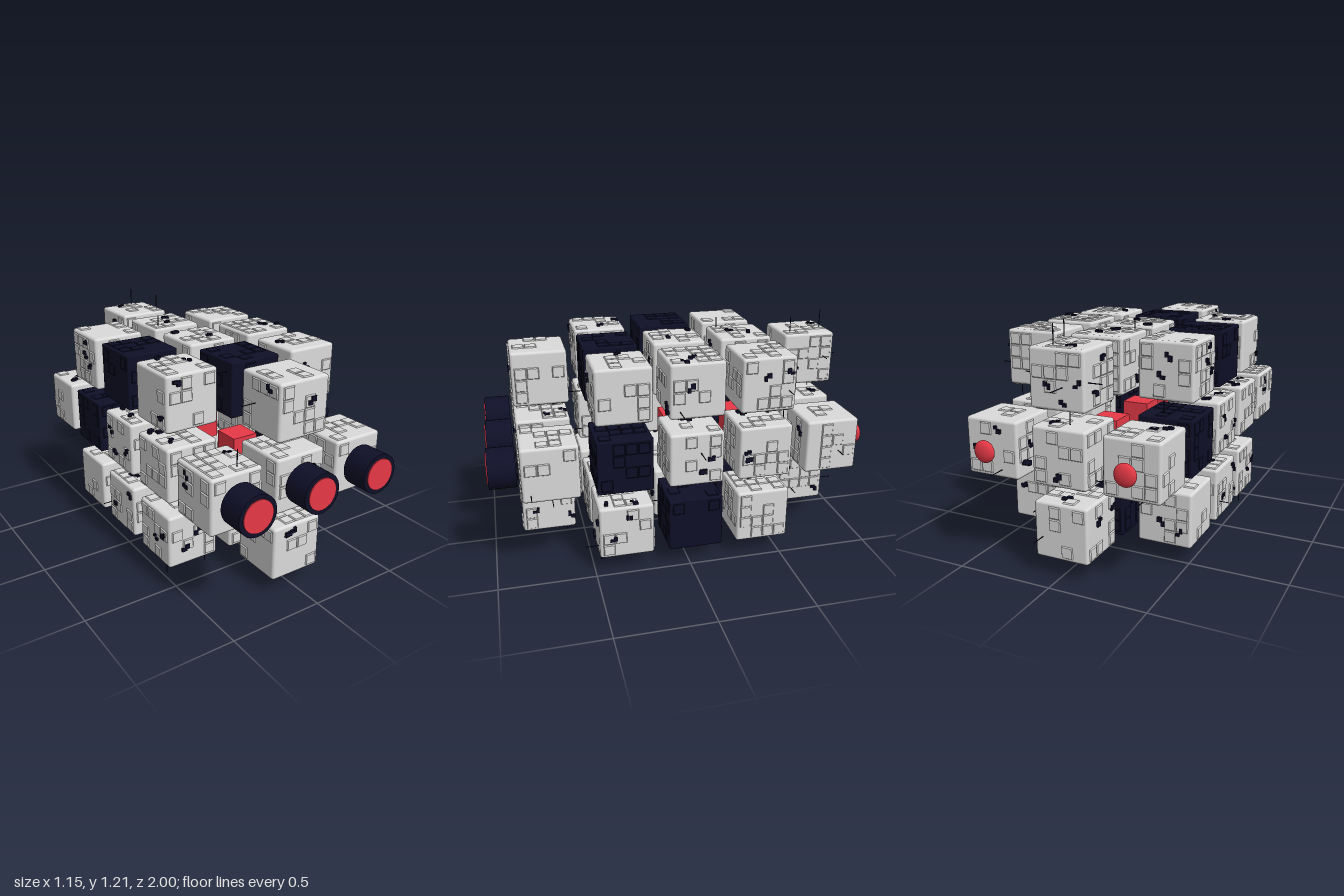
import * as THREE from 'three';
import { mergeGeometries } from 'three/addons/utils/BufferGeometryUtils.js';
import { RoundedBoxGeometry } from 'three/addons/geometries/RoundedBoxGeometry.js';

const STEP = 0.365, SIZE = 0.284;
const CENTER = new THREE.Vector3(-0.014, 0.602, -0.03);
const Z = new THREE.Vector3(0, 0, 1);

// cells with dark blocks, as x, y, z steps from the centre
const DARK = new Set(['-1,1,0', '0,1,1', '1,0,1', '1,-1,0', '-1,0,-1', '0,-1,-1']);

// long outer antennas: tip position and direction
const ANTENNAS = [
  [-0.475, 0, 0.37, 0, -1, 0], [-0.28, 0.04, 0.43, 0, -1, 0], [0.32, 0.03, -0.3, 0, -1, 0],
  [0.02, 1.21, -0.86, 0, 1, 0], [0.085, 1.2, -0.66, 0, 1, 0], [-0.11, 1.17, -0.3, 0, 1, 0],
  [-0.045, 0.935, -1, 0, 0, -1], [0.085, 0.2, -0.98, 0, 0, -1], [0.3, 0.5, -0.99, 0, 0, -1],
  [0.55, 0.93, -0.5, 1, 0, 0], [0.57, 0.865, 0.06, 1, 0, 0], [0.575, 0.635, -0.05, 1, 0, 0],
  [0.55, 0.5, 0.8, 1, 0, 0], [0.55, 0.57, -0.8, 1, 0, 0], [-0.575, 0.2, -0.14, -1, 0, 0],
];

const FACES = [[1, 0, 0], [-1, 0, 0], [0, 1, 0], [0, -1, 0], [0, 0, 1], [0, 0, -1]]
  .map(a => new THREE.Vector3(...a));

function makeRandom(seed) {
  return () => {
    seed = (seed * 1664525 + 1013904223) >>> 0;
    return seed / 4294967296;
  };
}

// plate on the z = 0 plane whose sides slope inward
function plate(w, h, depth, inset = 0.004) {
  const g = new THREE.BoxGeometry(w, h, depth);
  const p = g.attributes.position;
  for (let i = 0; i < p.count; i++) {
    if (p.getZ(i) > 0) p.setXY(i, p.getX(i) - Math.sign(p.getX(i)) * inset, p.getY(i) - Math.sign(p.getY(i)) * inset);
  }
  g.translate(0, 0, depth / 2);
  g.computeVertexNormals();
  return g;
}

// rod along +z from the origin
function rod(length, radius) {
  return new THREE.CylinderGeometry(radius, radius, length, 6)
    .rotateX(Math.PI / 2).translate(0, 0, length / 2);
}

// turns a geometry built on the xy plane onto one face of a block
function onFace(geometry, dir, u, v) {
  return geometry.translate(u, v, SIZE / 2)
    .applyQuaternion(new THREE.Quaternion().setFromUnitVectors(Z, dir));
}

export function createModel() {
  const model = new THREE.Group();
  const material = hex => new THREE.MeshStandardMaterial({ color: hex });
  const grey = material(0xdadada), navy = material(0x0f0f28), red = material(0xe63946);
  grey.name = 'light grey';
  navy.name = 'dark navy';
  red.name = 'red';
  const random = makeRandom(77);

  const add = (parent, name, geometry, mat, x = 0, y = 0, z = 0) => {
    const mesh = new THREE.Mesh(geometry, mat);
    mesh.name = name;
    mesh.position.set(x, y, z);
    parent.add(mesh);
    return mesh;
  };

  const hull = new RoundedBoxGeometry(SIZE, SIZE, SIZE, 2, 0.015);
  const darkHull = new RoundedBoxGeometry(SIZE, SIZE, SIZE, 2, 0.008);

  function block(cell, dark) {
    const group = new THREE.Group();
    group.name = dark ? 'darkBlock' : 'panelledBlock';
    const panels = [], details = [];
    for (const dir of FACES) {
      // raised square panels on a four by four grid
      for (let a = 0; a < 4; a++) {
        for (let b = 0; b < 4; b++) {
          if (random() < 0.38) {
            panels.push(onFace(plate(0.06, 0.06, dark ? 0.003 : 0.006), dir, (a - 1.5) * 0.063, (b - 1.5) * 0.063));
          }
        }
      }
      if (dark) continue;
      // small dark fittings, in loose pairs
      const clusters = Math.floor(random() * 3.2);
      for (let c = 0; c < clusters; c++) {
        const u = (random() - 0.5) * 0.22, v = (random() - 0.5) * 0.22;
        for (let n = 0; n < 2; n++) {
          const w = 0.012 + random() * 0.016, h = 0.012 + random() * 0.016;
          details.push(onFace(plate(w, h, 0.012, 0), dir, u + n * 0.018, v + n * (random() - 0.5) * 0.05));
        }
      }
      // short antennas reaching into the gaps between blocks
      const inner = Math.abs(cell.x + dir.x) <= 1 && Math.abs(cell.y + dir.y) <= 1 && Math.abs(cell.z + dir.z) <= 2;
      if (inner && random() < 0.35) {
        details.push(onFace(rod(0.05 + random() * 0.05, 0.0025), dir, (random() - 0.5) * 0.22, (random() - 0.5) * 0.22));
      }
    }
    add(group, 'hull', dark ? darkHull : hull, dark ? navy : grey);
    if (panels.length) add(group, 'panels', mergeGeometries(panels), dark ? navy : grey);
    if (details.length) add(group, 'fittings', mergeGeometries(details), navy);
    return group;
  }

  // three by three by five lattice without its eight corners, around a red core
  for (let i = -1; i <= 1; i++) {
    for (let j = -1; j <= 1; j++) {
      for (let k = -2; k <= 2; k++) {
        const cell = new THREE.Vector3(i, j, k);
        const position = cell.clone().multiplyScalar(STEP).add(CENTER);
        if (i && j && Math.abs(k) === 2) continue;
        if (!i && !j && Math.abs(k) < 2) {
          add(model, 'coreCube', new THREE.BoxGeometry(0.145, 0.145, 0.145), red, ...position);
          continue;
        }
        const b = block(cell, DARK.has(`${i},${j},${k}`));
        b.position.copy(position);
        model.add(b);
      }
    }
  }

  // thruster tubes with red ends at the front
  const tube = new THREE.CylinderGeometry(0.103, 0.103, 0.135, 32).rotateX(Math.PI / 2);
  const disc = new THREE.CylinderGeometry(0.081, 0.081, 0.02, 32).rotateX(Math.PI / 2);
  for (const i of [-1, 0, 1]) {
    const x = CENTER.x + i * STEP;
    add(model, 'frontTube', tube, navy, x, CENTER.y, 0.927);
    add(model, 'frontTubeEnd', disc, red, x, CENTER.y, 0.99);
  }

  // flattened red lamps at the back
  const lamp = new THREE.SphereGeometry(0.055, 24, 16).scale(1, 1, 0.45);
  for (const i of [-1, 1]) add(model, 'backLamp', lamp, red, CENTER.x + i * STEP, CENTER.y, -0.96);

  // outer antennas
  for (const [x, y, z, dx, dy, dz] of ANTENNAS) {
    const dir = new THREE.Vector3(dx, dy, dz);
    const mesh = add(model, 'antenna', rod(0.12, 0.0025), navy, x - dx * 0.12, y - dy * 0.12, z - dz * 0.12);
    mesh.quaternion.setFromUnitVectors(Z, dir);
  }

  return model;
}
